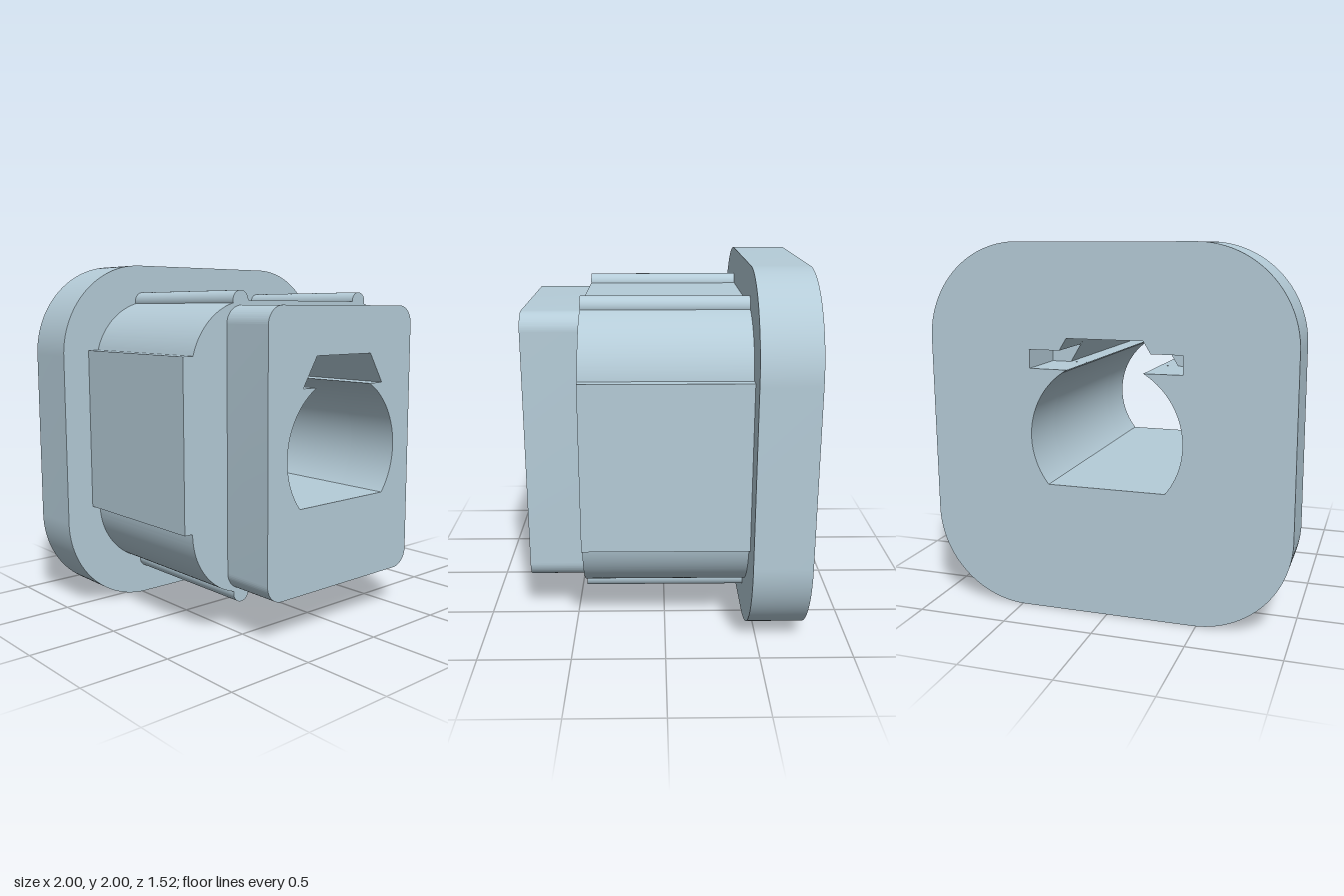
import * as THREE from 'three';
import { toCreasedNormals } from 'three/addons/utils/BufferGeometryUtils.js';

const BACK = -0.76, PLATE_FRONT = -0.45, BODY_FRONT = 0.445, FRONT = 0.76;

// Rounded rectangle, centred on x = 0
function roundedRect(halfWidth, bottom, top, r) {
  const s = new THREE.Shape();
  const cx = halfWidth - r;
  s.absarc(cx, bottom + r, r, -Math.PI / 2, 0);
  s.absarc(cx, top - r, r, 0, Math.PI / 2);
  s.absarc(-cx, top - r, r, Math.PI / 2, Math.PI);
  s.absarc(-cx, bottom + r, r, Math.PI, Math.PI * 1.5);
  s.closePath();
  return s;
}

// Through hole: round bore with flat floor and a dovetail keyway on top,
// optionally with side ears cut beside the keyway
function keyedHole(withEars) {
  const cy = 0.975, r = 0.42;
  const floorAngle = Math.asin((0.71 - cy) / r);
  const keyAngle = Math.acos(0.21 / r);
  const p = new THREE.Path();
  p.absarc(0, cy, r, floorAngle, keyAngle);
  const side = withEars
    ? [[0.42, 1.34], [0.42, 1.44], [0.25, 1.44], [0.21, 1.505]]
    : [[0.31, 1.34], [0.21, 1.505]];
  side.forEach(([x, y]) => p.lineTo(x, y));
  side.slice().reverse().forEach(([x, y]) => p.lineTo(-x, y));
  p.absarc(0, cy, r, Math.PI - keyAngle, Math.PI - floorAngle);
  p.closePath();
  return p;
}

export function createModel() {
  const group = new THREE.Group();
  const material = new THREE.MeshStandardMaterial({ color: 0xb5ccd8 });

  const add = (name, geometry, x = 0, y = 0, z = 0) => {
    const mesh = new THREE.Mesh(geometry, material);
    mesh.name = name;
    mesh.position.set(x, y, z);
    group.add(mesh);
    return mesh;
  };

  const addSlab = (name, shape, z0, z1, withEars = false) => {
    shape.holes.push(keyedHole(withEars));
    const geometry = new THREE.ExtrudeGeometry(shape, {
      depth: z1 - z0, bevelEnabled: false, curveSegments: 32,
    });
    add(name, toCreasedNormals(geometry, 0.4), 0, 0, z0);
  };

  // Three stacked sections sharing the keyed bore
  addSlab('backPlate', roundedRect(1, 0, 2, 0.52), BACK, PLATE_FRONT, true);
  addSlab('body', roundedRect(0.79, 0.215, 1.79, 0.38), PLATE_FRONT, BODY_FRONT);
  addSlab('frontBlock', roundedRect(0.555, 0.24, 1.765, 0.1), BODY_FRONT, FRONT);

  const length = BODY_FRONT - PLATE_FRONT;
  const midZ = (BODY_FRONT + PLATE_FRONT) / 2;

  // Side pads, set at slightly different heights
  for (const [name, side, bottom, top] of [
    ['leftPad', 1, 0.545, 1.46],
    ['rightPad', -1, 0.595, 1.51],
  ]) {
    add(name, new THREE.BoxGeometry(0.07, top - bottom, length),
      side * 0.805, (bottom + top) / 2, midZ);
  }

  // Round ribs along the top and bottom of the body
  const ribGeometry = new THREE.CylinderGeometry(0.053, 0.053, length, 32);
  ribGeometry.rotateX(Math.PI / 2);
  for (const x of [-0.46, 0.46]) {
    add('topRib', ribGeometry, x, 1.79, midZ);
    add('bottomRib', ribGeometry, x, 0.215, midZ);
  }

  return group;
}
